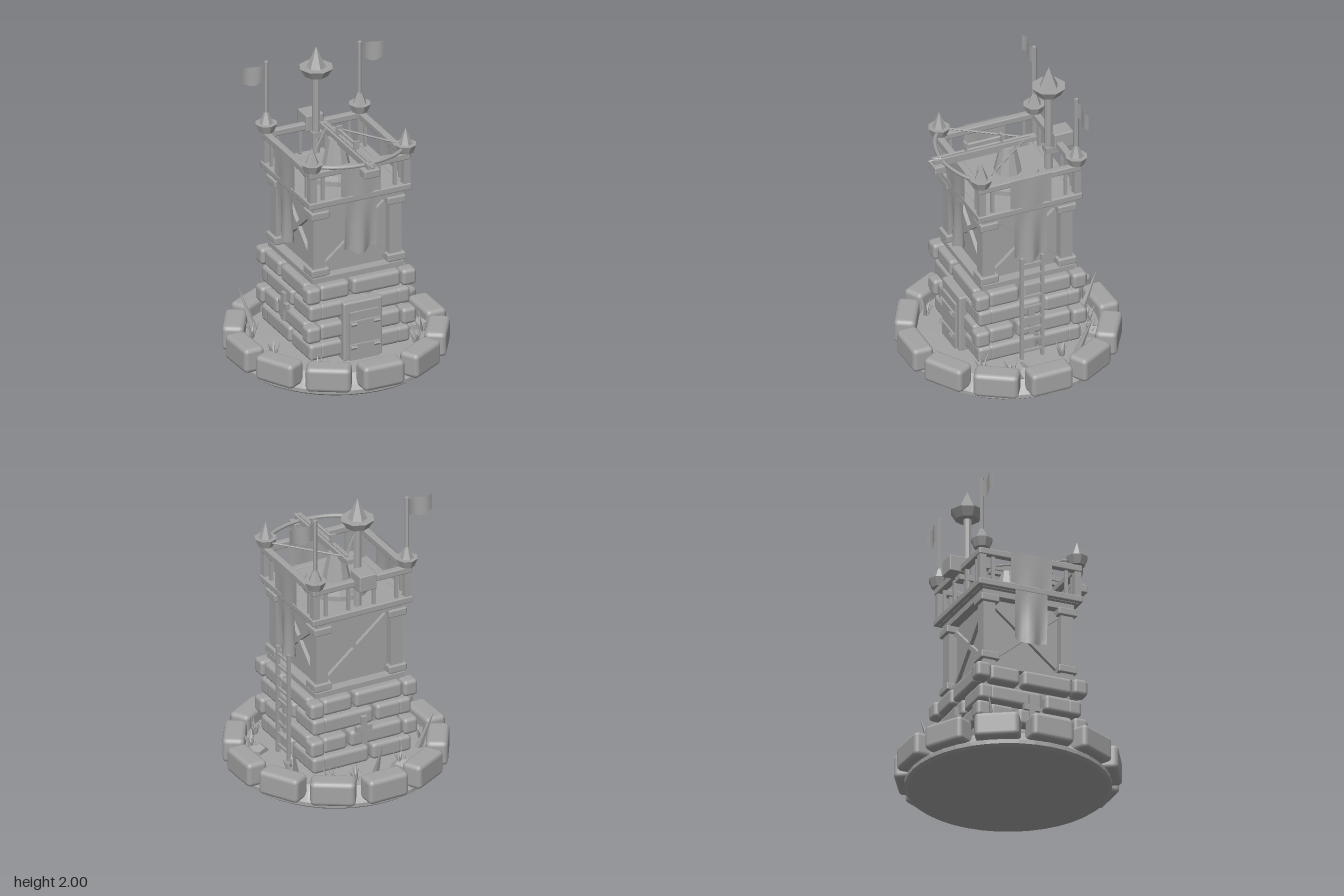
import * as THREE from 'three';
import { RoundedBoxGeometry } from 'three/addons/geometries/RoundedBoxGeometry.js';

const stone = new THREE.MeshStandardMaterial({ color: 0xa3a3a3 });
stone.name = 'plain grey';
const faceted = stone.clone();
faceted.flatShading = true;
const cloth = stone.clone();
cloth.side = THREE.DoubleSide;

function add(parent, name, geometry, x = 0, y = 0, z = 0, material = stone) {
  const mesh = new THREE.Mesh(geometry, material);
  mesh.name = name;
  mesh.position.set(x, y, z);
  parent.add(mesh);
  return mesh;
}
const box = (parent, name, w, h, d, x, y, z) => add(parent, name, new THREE.BoxGeometry(w, h, d), x, y, z);
const block = (parent, name, w, h, d, x, y, z, r = 0.025) =>
  add(parent, name, new RoundedBoxGeometry(w, h, d, 2, r), x, y, z);
const cyl = (parent, name, top, bottom, h, sides, x, y, z) =>
  add(parent, name, new THREE.CylinderGeometry(top, bottom, h, sides), x, y, z, faceted);

// Bar or spike between two points
function rod(parent, name, a, b, r0, r1 = r0, sides = 6) {
  const p = new THREE.Vector3(...a), q = new THREE.Vector3(...b);
  const mesh = cyl(parent, name, r1, r0, p.distanceTo(q), sides, 0, 0, 0);
  mesh.position.copy(p).lerp(q, 0.5);
  mesh.quaternion.setFromUnitVectors(new THREE.Vector3(0, 1, 0), q.sub(p).normalize());
  return mesh;
}

// Four groups, one for each face: front, left, back, right
function eachSide(root, name, build) {
  for (let i = 0; i < 4; i++) {
    const side = new THREE.Group();
    side.name = name;
    side.rotation.y = i * Math.PI / 2;
    root.add(side);
    build(side, i);
  }
}

// Hanging cloth with a ragged lower edge and a bulge towards the bottom
function banner(parent, name, w, top, bottom, z, bulge, point) {
  const g = new THREE.PlaneGeometry(w, top - bottom, 8, 8), p = g.attributes.position;
  for (let i = 0; i < p.count; i++) {
    const u = p.getX(i) / w, t = 0.5 - p.getY(i) / (top - bottom);
    p.setZ(i, bulge * t * Math.cos(u * 9));
    p.setY(i, p.getY(i) - point * t * t * (1 - Math.abs(u) * 2) + 0.006 * t * Math.sin(u * 23));
  }
  g.computeVertexNormals();
  return add(parent, name, g, 0, (top + bottom) / 2, z, cloth);
}

// Flared cup with a pointed top
function finial(parent, x, y, z, r, cupHeight, spikeR, spikeH) {
  cyl(parent, 'finialCup', r, r * 0.7, cupHeight, 8, x, y + cupHeight / 2, z);
  cyl(parent, 'finialSpike', 0, spikeR, spikeH, 6, x, y + cupHeight + spikeH / 2, z);
}

function buildBase(root) {
  const profile = [[0, 0.005], [0.63, 0.005], [0.65, 0.02], [0.65, 0.045], [0.62, 0.07], [0.57, 0.13], [0, 0.15]];
  add(root, 'groundDisc', new THREE.LatheGeometry(profile.map(p => new THREE.Vector2(...p)), 40), 0, 0, 0, faceted);
  for (let i = 0; i < 12; i++) {
    const a = i * Math.PI / 6;
    const s = block(root, 'rimStone', 0.285, 0.165, 0.14, 0.634 * Math.sin(a), 0.135, 0.634 * Math.cos(a), 0.03);
    s.rotation.y = a + 0.03 * Math.sin(i * 2.3);
  }
  // Grass tufts
  const tufts = [[-0.2, -0.45], [0.13, -0.49], [0.28, -0.43], [-0.5, -0.18], [-0.5, 0.13],
    [0.43, -0.18], [0.5, 0.2], [0.39, 0.35], [-0.34, 0.41]];
  tufts.forEach(([x, z], k) => {
    for (let i = 0; i < 5; i++) {
      const a = i * 1.257 + k, s = i === 0 ? 0.02 : 0.05;
      rod(root, 'grassBlade', [x, 0.12, z], [x + s * Math.cos(a), 0.23 + 0.02 * Math.sin(a * 3), z + s * Math.sin(a)], 0.016, 0, 4);
    }
  });
  // Tall thorns and leaning shards
  rod(root, 'thorn', [0, 0.12, -0.5], [0, 0.4, -0.61], 0.028, 0, 5);
  for (const s of [-1, 1]) rod(root, 'thorn', [s * 0.43, 0.12, -0.28], [s * 0.5, 0.4, -0.36], 0.028, 0, 5);
  [[0.5, 0.13], [0.28, -0.46], [-0.22, -0.48]].forEach(([x, z], i) => {
    const r = add(root, 'shard', new THREE.DodecahedronGeometry(0.08), x, 0.14, z, faceted);
    r.scale.set(1.1, 0.6, 0.7);
    r.rotation.y = i * 1.3;
  });
}

function buildStoneStorey(root) {
  box(root, 'stoneCore', 0.58, 0.54, 0.58, 0, 0.39, 0);
  for (let row = 0; row < 4; row++) {
    const y = 0.21 + row * 0.134, wide = row % 2 === 1;
    const c = wide ? 0.33 : 0.3, split = [0.06, -0.1, 0.09, -0.065][row];
    eachSide(root, 'stoneCourse', side => {
      block(side, 'cornerStone', 0.1, 0.11, 0.1, c, y, c);
      for (const [a, b] of [[-0.28, split - 0.01], [split + 0.01, 0.28]])
        block(side, 'wallStone', b - a, 0.11, 0.12, (a + b) / 2, y, wide ? 0.3 : 0.29);
    });
  }
  // Door with hinge bars
  block(root, 'doorFrame', 0.27, 0.4, 0.09, 0, 0.33, 0.345, 0.012);
  box(root, 'doorPanel', 0.2, 0.33, 0.02, 0, 0.3, 0.395);
  for (const y of [0.23, 0.39]) {
    box(root, 'hingeBar', 0.21, 0.035, 0.015, 0, y, 0.41);
    for (const x of [-0.08, 0.08]) rod(root, 'hingePin', [x - 0.02, y, 0.415], [x + 0.02, y, 0.415], 0.014);
  }
  // Cross-shaped arrow slits
  eachSide(root, 'arrowSlit', (side, i) => {
    if (i === 0) return;
    box(side, 'slitUpright', 0.04, 0.19, 0.03, 0, 0.4, 0.36);
    box(side, 'slitBar', 0.11, 0.04, 0.03, 0, 0.41, 0.36);
  });
}

function buildTimberStorey(root) {
  box(root, 'plasterWall', 0.5, 0.56, 0.5, 0, 0.93, 0);
  box(root, 'sill', 0.635, 0.035, 0.635, 0, 0.69, 0);
  box(root, 'headBeam', 0.62, 0.04, 0.62, 0, 1.18, 0);
  eachSide(root, 'timberFrame', side => {
    box(side, 'cornerPost', 0.085, 0.5, 0.085, 0.265, 0.94, 0.265);
    block(side, 'postFoot', 0.125, 0.05, 0.125, 0.265, 0.745, 0.265, 0.008);
    block(side, 'postCap', 0.125, 0.05, 0.125, 0.265, 1.14, 0.265, 0.008);
    const angle = Math.atan2(0.37, 0.44);
    for (const s of [-1, 1])
      box(side, 'crossBrace', 0.58, 0.03, 0.025, 0, 0.94, 0.262).rotation.z = s * angle;
  });
}

function buildPlatform(root) {
  box(root, 'deck', 0.66, 0.04, 0.66, 0, 1.225, 0);
  eachSide(root, 'parapet', (side, i) => {
    block(side, 'deckBeam', 0.71, 0.045, 0.05, 0, 1.23, 0.33, 0.008);
    block(side, 'topRail', 0.7, 0.045, 0.045, 0, 1.44, 0.33, 0.008);
    box(side, 'railPost', 0.045, 0.22, 0.045, 0.325, 1.34, 0.325);
    for (const x of i === 2 ? [-0.25, -0.09, 0.09, 0.25] : [-0.25, 0.25])
      box(side, 'baluster', 0.02, 0.19, 0.02, x, 1.33, 0.325);
    if (i !== 2) {
      banner(side, 'railBanner', 0.28, 1.465, 1.255, 0.358, 0.006, 0.01);
      banner(side, 'longBanner', 0.22, 1.21, 0.88, 0.355, 0.025, 0.04);
    }
    finial(side, 0.325, 1.465, 0.325, 0.072, 0.055, 0.045, 0.11);
  });
  // Flags on the rear corners
  for (const s of [-1, 1]) {
    cyl(root, 'flagPole', 0.014, 0.014, 0.42, 6, s * 0.325, 1.735, -0.325);
    const g = new THREE.PlaneGeometry(0.17, 0.12, 8, 2), p = g.attributes.position;
    for (let i = 0; i < p.count; i++) {
      const x = p.getX(i);
      p.setZ(i, 0.012 * Math.sin(x * 40));
      if (p.getY(i) < -0.01) p.setY(i, p.getY(i) - 0.012 * Math.cos(x * 45));
    }
    g.computeVertexNormals();
    add(root, 'flag', g, s * 0.422, 1.865, -0.325, cloth);
  }
  // Tall rear mast
  cyl(root, 'mast', 0.027, 0.027, 0.58, 8, 0, 1.53, -0.28);
  finial(root, 0, 1.805, -0.28, 0.11, 0.055, 0.062, 0.14);
  block(root, 'mastBlock', 0.12, 0.11, 0.13, 0, 1.465, -0.36, 0.008);
  box(root, 'mastBracket', 0.07, 0.04, 0.1, 0, 1.395, -0.3);
}

function buildBallista(root) {
  const g = new THREE.Group();
  g.name = 'ballista';
  root.add(g);
  cyl(g, 'turntable', 0.215, 0.215, 0.03, 16, 0, 1.265, 0);
  cyl(g, 'turntableTop', 0.19, 0.2, 0.03, 16, 0, 1.295, 0);
  cyl(g, 'pedestal', 0.05, 0.09, 0.18, 10, 0, 1.4, 0);
  box(g, 'stock', 0.05, 0.03, 0.7, 0, 1.505, 0.16);
  box(g, 'stockKeel', 0.03, 0.03, 0.55, 0, 1.48, 0.14);
  block(g, 'nose', 0.11, 0.055, 0.08, 0, 1.46, 0.48, 0.008);
  rod(g, 'bolt', [0, 1.525, -0.15], [0, 1.525, 0.48], 0.009);
  rod(g, 'boltTip', [0, 1.51, 0.46], [0, 1.51, 0.545], 0.024, 0, 4);
  // Bow arms and string
  const bow = new THREE.CatmullRomCurve3([[-0.36, 0.29], [-0.22, 0.4], [0, 0.45], [0.22, 0.4], [0.36, 0.29]]
    .map(([x, z]) => new THREE.Vector3(x, 1.5, z)));
  add(g, 'bow', new THREE.TubeGeometry(bow, 24, 0.014, 6), 0, 0, 0);
  for (const s of [-1, 1]) rod(g, 'string', [s * 0.34, 1.5, 0.31], [0, 1.515, -0.13], 0.006);
  // Upper guide bar
  rod(g, 'guideBar', [0, 1.565, 0.05], [0, 1.565, 0.3], 0.012);
  for (const z of [0.045, 0.29]) {
    box(g, 'guideEnd', 0.04, 0.05, 0.016, 0, 1.565, z);
    box(g, 'guideFoot', 0.02, 0.04, 0.012, 0, 1.53, z);
  }
}

function buildLadder(root) {
  for (const z of [-0.07, 0.07]) box(root, 'ladderRail', 0.022, 0.77, 0.02, 0.375, 0.5, z);
  for (let i = 0; i < 9; i++) box(root, 'ladderRung', 0.016, 0.016, 0.14, 0.375, 0.19 + i * 0.08, 0);
}

export function createModel() {
  const root = new THREE.Group();
  root.name = 'watchtower';
  for (const build of [buildBase, buildStoneStorey, buildTimberStorey, buildPlatform, buildBallista, buildLadder]) build(root);
  return root;
}
